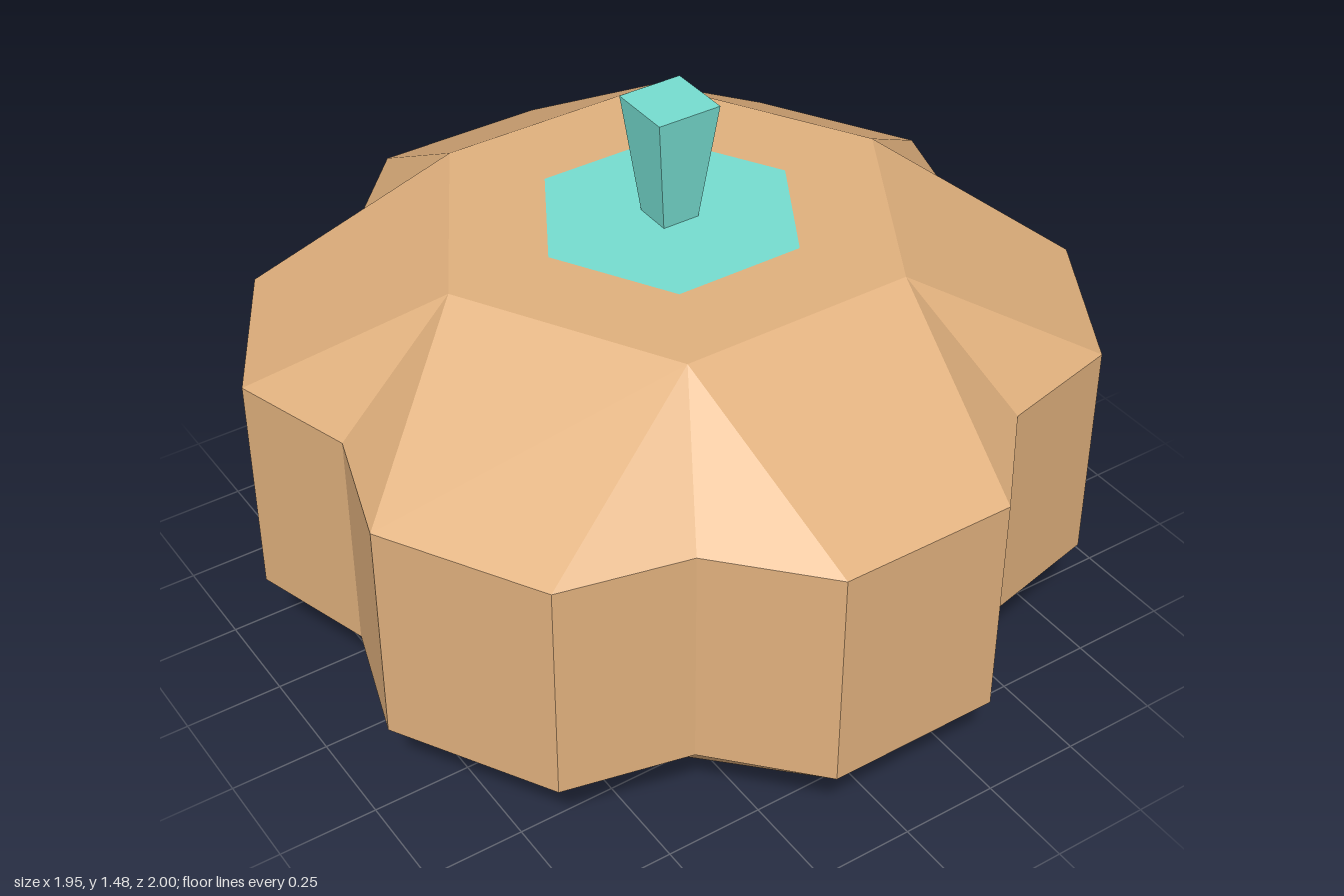
import * as THREE from 'three';

const shellMat = new THREE.MeshStandardMaterial({ color: 0xe0b07d });
shellMat.name = 'pumpkinShell';
const stemMat = new THREE.MeshStandardMaterial({ color: 0x75dccf });
stemMat.name = 'stemTeal';

const LOBES = 6, BOTTOM = 0, LOW = 0.3, HIGH = 0.885, TOP = 1.18;
const CAP_R = 0.59, VALLEY_R = 0.88, LOBE_R = 1.024, PATCH_R = 0.33;
const HALF_LOBE = 0.2165; // half the angle of a lobe's flat face
const STEP = (Math.PI * 2) / LOBES;

// Point at an angle measured from +z towards +x
const at = (r, a, y) => [r * Math.sin(a), y, r * Math.cos(a)];

// Flat-shaded geometry from convex polygons, corners anticlockwise from outside
function fromPolygons(polygons) {
  const out = [];
  for (const p of polygons)
    for (let i = 1; i < p.length - 1; i++) out.push(...p[0], ...p[i], ...p[i + 1]);
  const g = new THREE.BufferGeometry();
  g.setAttribute('position', new THREE.Float32BufferAttribute(out, 3));
  g.computeVertexNormals();
  return g;
}

function add(group, name, geometry, material) {
  const mesh = new THREE.Mesh(geometry, material);
  mesh.name = name;
  group.add(mesh);
  return mesh;
}

export function createModel() {
  const group = new THREE.Group();
  group.name = 'pumpkin';
  const sides = [], upper = [], lower = [], topRim = [], patch = [], base = [];

  for (let i = 0; i < LOBES; i++) {
    const mid = i * STEP, start = mid - STEP / 2, end = mid + STEP / 2;
    // Outline of one lobe: valley, two corners, valley
    const outline = [[VALLEY_R, start], [LOBE_R, mid - HALF_LOBE], [LOBE_R, mid + HALF_LOBE], [VALLEY_R, end]];
    const lo = outline.map(([r, a]) => at(r, a, LOW));
    const hi = outline.map(([r, a]) => at(r, a, HIGH));
    for (let k = 0; k < 3; k++) sides.push([lo[k], lo[k + 1], hi[k + 1], hi[k]]);

    // Sloping shoulders above and below
    const t0 = at(CAP_R, start, TOP), t1 = at(CAP_R, end, TOP);
    const b0 = at(CAP_R, start, BOTTOM), b1 = at(CAP_R, end, BOTTOM);
    upper.push([hi[0], hi[1], t0], [hi[1], hi[2], t1, t0], [hi[2], hi[3], t1]);
    lower.push([lo[0], b0, lo[1]], [b0, b1, lo[2], lo[1]], [lo[2], b1, lo[3]]);

    // Flat top with an inset hexagon, and flat base
    const p0 = at(PATCH_R, start, TOP), p1 = at(PATCH_R, end, TOP);
    topRim.push([t0, t1, p1, p0]);
    patch.push([p0, p1, [0, TOP, 0]]);
    base.push([b1, b0, [0, BOTTOM, 0]]);
  }

  add(group, 'lobeSides', fromPolygons(sides), shellMat);
  add(group, 'upperShoulders', fromPolygons(upper), shellMat);
  add(group, 'lowerShoulders', fromPolygons(lower), shellMat);
  add(group, 'topRim', fromPolygons(topRim), shellMat);
  add(group, 'base', fromPolygons(base), shellMat);
  add(group, 'stemPatch', fromPolygons(patch), stemMat);

  // Square stem that widens upwards
  const stemGeo = new THREE.CylinderGeometry(0.082 * Math.SQRT2, 0.048 * Math.SQRT2, 0.3, 4)
    .rotateY(Math.PI / 4).toNonIndexed();
  stemGeo.computeVertexNormals();
  add(group, 'stem', stemGeo, stemMat).position.y = TOP + 0.15;

  return group;
}
